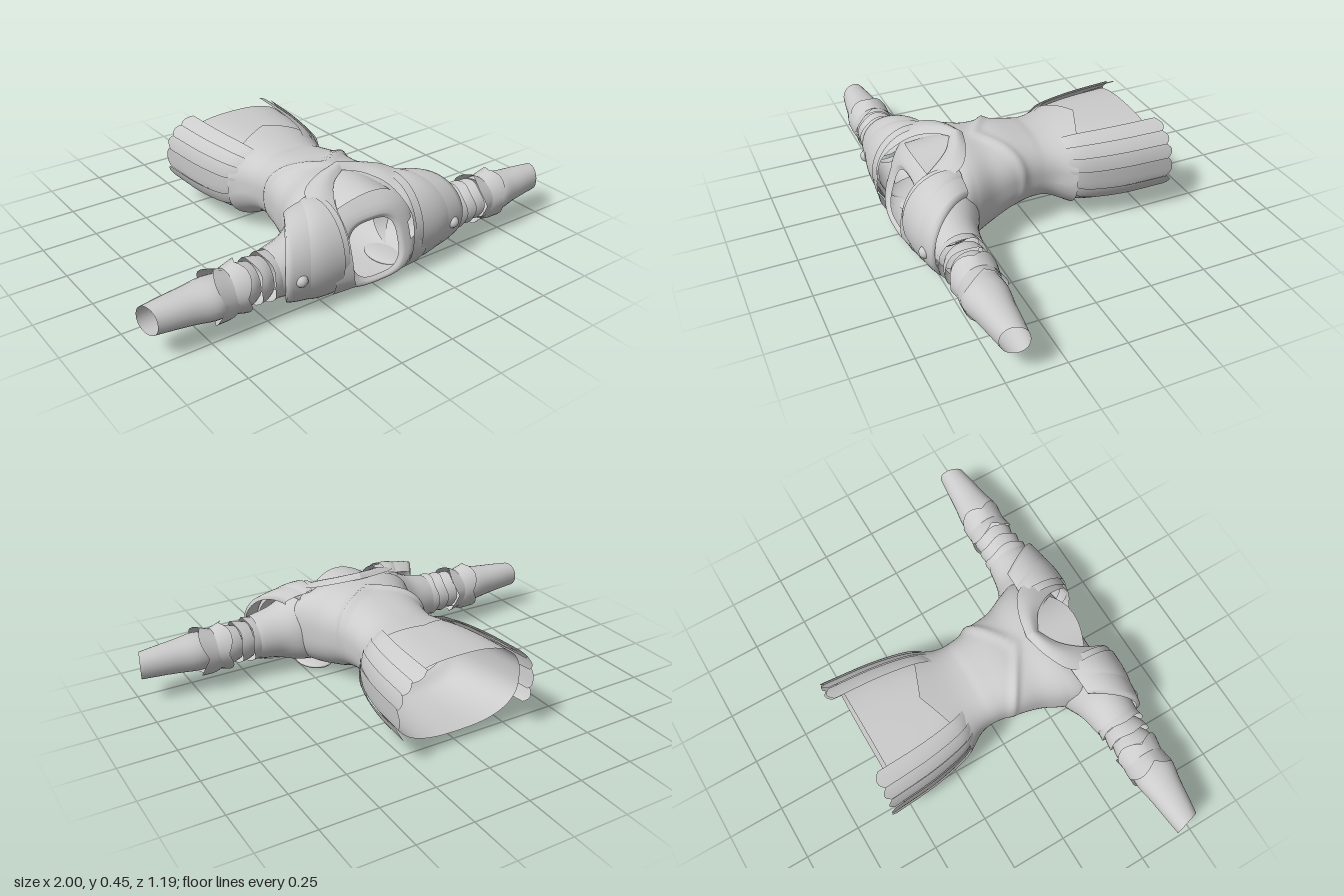
import * as THREE from 'three';

const material = new THREE.MeshStandardMaterial({ color: 0xcccccc, side: THREE.DoubleSide });
const clamp = THREE.MathUtils.clamp;

// Grid surface from a rule fn(u, v) -> Vector3; optionally closed in u, with faces left out by skip(centre)
function surface(name, nu, nv, fn, closed = false, skip = null) {
  const pts = [], index = [], cols = closed ? nu : nu + 1;
  for (let j = 0; j <= nv; j++) for (let i = 0; i < cols; i++) pts.push(fn(i / nu, j / nv));
  for (let j = 0; j < nv; j++) for (let i = 0; i < nu; i++) {
    const a = j * cols + i, b = j * cols + ((i + 1) % cols), c = a + cols, d = b + cols;
    if (skip && skip(pts[a].clone().add(pts[d]).multiplyScalar(0.5))) continue;
    index.push(a, b, d, a, d, c);
  }
  const geo = new THREE.BufferGeometry().setFromPoints(pts);
  geo.setIndex(index);
  geo.computeVertexNormals();
  const mesh = new THREE.Mesh(geo, material);
  mesh.name = name;
  return mesh;
}

// Smooth interpolation of rows [s, min a, max a, min b, max b, exponent]
function section(rows) {
  const curve = (k) => new THREE.CatmullRomCurve3(
    rows.map((r) => new THREE.Vector3(r[k], r[k + 1], r[k + 2])), false, 'catmullrom', 0.5);
  const p = curve(0), q = curve(3);
  return (u, v, grow = 0) => {
    const [s, a0, a1] = p.getPoint(v).toArray(), [b0, b1, e] = q.getPoint(v).toArray();
    const t = u * Math.PI * 2, c = Math.cos(t), n = Math.sin(t);
    const round = (w) => Math.sign(w) * Math.abs(w) ** (2 / e);
    return [s, (a0 + a1) / 2 + ((a1 - a0) / 2 + grow) * round(c), (b0 + b1) / 2 + ((b1 - b0) / 2 + grow) * round(n)];
  };
}

// Tube along x, rows [x, z min, z max, y min, y max, exponent]
function sleeve(name, rows, nv, edge = () => 0, nu = 28) {
  const sec = section(rows);
  return surface(name, nu, nv, (u, v) => {
    const [x, z, y] = sec(u, v);
    return new THREE.Vector3(x + edge(u, v, z), y, z);
  }, true);
}

// Hollow torso with neck, arm and waist openings
function makeTorso() {
  const rows = [
    [0.565, 0.122, 0.065, 0.28, 3], [0.575, 0.15, 0.05, 0.30, 3], [0.56, 0.21, 0.035, 0.33, 3],
    [0.5, 0.28, 0.015, 0.37, 2.8], [0.4, 0.31, 0.012, 0.405, 2.7], [0.3, 0.285, 0.018, 0.425, 2.6],
    [0.2, 0.24, 0.04, 0.415, 2.5], [0.1, 0.22, 0.08, 0.415, 2.5], [0, 0.2, 0.095, 0.4, 2.5],
    [-0.08, 0.205, 0.088, 0.385, 2.5], [-0.17, 0.255, 0.04, 0.395, 2.4],
  ].map(([z, w, b, t, e]) => [z, -w, w, b, t, e]);
  const sec = section(rows);
  return surface('torso', 72, 90, (u, v) => {
    let [z, x, y] = sec(u, v);
    // raised chevron below the chest plate
    const d = z - (0.2 - 0.65 * Math.abs(x));
    const ridge = Math.exp(-((d / 0.022) ** 2)) * clamp((y - 0.1) / 0.2, 0, 1);
    x *= 1 + 0.05 * ridge;
    y += 0.012 * ridge * clamp((y - 0.25) / 0.1, 0, 1);
    // sloping neckline, pointed hem front and back
    const neck = 0.32 * (y - 0.06) * clamp((z - 0.3) / 0.27, 0, 1);
    const hem = clamp((-0.05 - z) / 0.12, 0, 1) * Math.max(0, 1 - Math.abs(x) / 0.26);
    z -= neck + hem * (y > 0.22 ? 0.1 : 0.02);
    return new THREE.Vector3(x, y + (y > 0.22 ? 0.025 : -0.005) * hem, z);
  }, true, (c) => Math.abs(c.x) > 0.19 && Math.hypot(c.z - 0.45, c.y - 0.17) < 0.085);
}

// Open skirt with layered hip panels
function makeSkirt() {
  const group = new THREE.Group();
  group.name = 'skirt';
  const sec = section([
    [-0.13, -0.21, 0.21, 0.1, 0.375, 2.4], [-0.2, -0.25, 0.25, 0.05, 0.395, 2.5],
    [-0.35, -0.283, 0.283, 0.042, 0.4, 2.6], [-0.53, -0.3, 0.3, 0.055, 0.4, 2.6],
  ]);
  group.add(surface('skirtShell', 64, 20, (u, v) => {
    const [z, x, y] = sec(u, v);
    return new THREE.Vector3(x, y, z);
  }, true));
  const bands = 5;
  for (const side of [1, -1]) for (let k = 0; k < bands; k++) {
    group.add(surface('hipPanel', 8, 16, (i, v) => {
      const u = -0.075 + ((k + i * 1.12) / bands) * 0.24;
      const [z, x, y] = sec(u, 0.06 + 0.94 * v, 0.008 + 0.008 * i + 0.008 * v);
      const scallop = 0.045 + 0.022 * Math.sin(Math.PI * Math.min(1, i));
      return new THREE.Vector3(side * x, y, z - v * v * scallop);
    }));
  }
  return group;
}

// One arm on +x: root, banded upper arm, elbow cuffs, forearm
function makeArm() {
  const arm = new THREE.Group();
  arm.name = 'arm';
  arm.add(sleeve('shoulderSleeve', [
    [0.2, 0.27, 0.57, 0.035, 0.37, 2.4], [0.28, 0.295, 0.57, 0.04, 0.34, 2.2],
    [0.36, 0.33, 0.56, 0.06, 0.3, 2], [0.46, 0.35, 0.55, 0.075, 0.275, 2],
  ], 14));
  for (let i = 0; i < 3; i++) {
    const x = 0.43 + i * 0.055, s = i * 0.006;
    arm.add(sleeve('upperArmBand', [
      [x, 0.36 + s, 0.535 - s, 0.09 + s, 0.262 - s, 2], [x + 0.03, 0.353 + s, 0.55 - s, 0.078 + s, 0.27 - s, 2],
      [x + 0.062, 0.35 + s, 0.556 - s, 0.072 + s, 0.276 - s, 2],
    ], 5, (u, v) => v * 0.006 * Math.cos(u * Math.PI * 8)));
  }
  // flared elbow guard, pointed at the rim
  const points = (sign) => (u, v) => sign * v * v * 0.028 * Math.abs(Math.cos(u * Math.PI * 4 + Math.PI / 2));
  arm.add(sleeve('elbowCuffInner', [
    [0.68, 0.365, 0.54, 0.085, 0.25, 2], [0.65, 0.36, 0.545, 0.075, 0.265, 2], [0.615, 0.352, 0.552, 0.06, 0.285, 2],
  ], 8, points(-1), 32));
  arm.add(sleeve('elbowCuffOuter', [
    [0.63, 0.365, 0.54, 0.08, 0.255, 2], [0.66, 0.36, 0.545, 0.06, 0.265, 2], [0.705, 0.358, 0.55, 0.058, 0.285, 2],
  ], 8, points(1), 32));
  arm.add(sleeve('forearm', [
    [0.67, 0.37, 0.54, 0.09, 0.25, 2], [0.74, 0.367, 0.552, 0.09, 0.255, 2.1], [0.83, 0.38, 0.535, 0.1, 0.247, 2.1],
    [0.92, 0.39, 0.522, 0.108, 0.24, 2.1], [1, 0.4, 0.51, 0.113, 0.232, 2.1],
  ], 18, (u, v, z) => -v * Math.max(0, z - 0.4) * 0.28));

  // domed pauldron, in two overlapping shells
  for (const [name, grow, from, reach] of [['pauldron', 0, 0.17, 0.36], ['pauldronOverlay', 0.008, 0.2, 0.29]]) {
    arm.add(surface(name, 28, 12, (u, v) => {
      const a = THREE.MathUtils.lerp(-1.15, 1.95, u);
      const x = THREE.MathUtils.lerp(from, reach + 0.09 * Math.cos(a), Math.min(1, v * 1.1));
      const taper = 1 - 0.16 * v ** 3 - (v > 0.95 ? 0.06 : 0);
      return new THREE.Vector3(x, 0.195 + (0.2 + grow) * taper * Math.sin(a), 0.415 + (0.175 + grow) * taper * Math.cos(a));
    }));
  }
  const stud = new THREE.Mesh(new THREE.SphereGeometry(0.027, 16, 12), material);
  stud.name = 'shoulderStud';
  stud.position.set(0.39, 0.18, 0.57);
  arm.add(stud);

  // rounded pad on the shoulder blade
  const pad = new THREE.Mesh(new THREE.SphereGeometry(1, 24, 12), material);
  pad.name = 'backPad';
  pad.scale.set(0.085, 0.02, 0.11);
  pad.position.set(0.18, 0.02, 0.4);
  arm.add(pad);

  // collar yoke running from the breastbone over the shoulder to the back
  const path = (list) => new THREE.CatmullRomCurve3(list.map((p) => new THREE.Vector3(...p)), false, 'catmullrom', 0.5);
  const inner = path([[0, 0.43, 0.31], [0.08, 0.412, 0.36], [0.14, 0.375, 0.45], [0.16, 0.3, 0.555], [0.158, 0.2, 0.59], [0.145, 0.1, 0.592], [0.115, 0.045, 0.565]]);
  const outer = path([[0, 0.435, 0.25], [0.11, 0.425, 0.28], [0.21, 0.405, 0.34], [0.245, 0.375, 0.45], [0.24, 0.29, 0.555], [0.235, 0.12, 0.585], [0.22, 0.04, 0.55]]);
  arm.add(surface('collarYoke', 36, 6, (u, v) => {
    const p = inner.getPoint(u).lerp(outer.getPoint(u), v);
    p.y += Math.sin(v * Math.PI) * 0.022 * (1 - u);
    return p;
  }));
  return arm;
}

export function createModel() {
  const model = new THREE.Group();
  model.name = 'bodyArmour';
  model.add(makeTorso(), makeSkirt());
  for (const side of [1, -1]) {
    const arm = makeArm();
    arm.name = side > 0 ? 'leftArm' : 'rightArm';
    arm.scale.x = side;
    model.add(arm);
  }
  // pointed throat plate overhanging the neckline
  model.add(surface('throatPlate', 24, 10, (u, v) => {
    const s = u * 2 - 1, w = 0.14 * Math.sqrt(v);
    const x = s * w;
    return new THREE.Vector3(x, 0.425 - 0.018 * v - 0.05 * s * s * v, 0.31 + 0.18 * v - 0.03 * s * s * v);
  }));
  return model;
}
